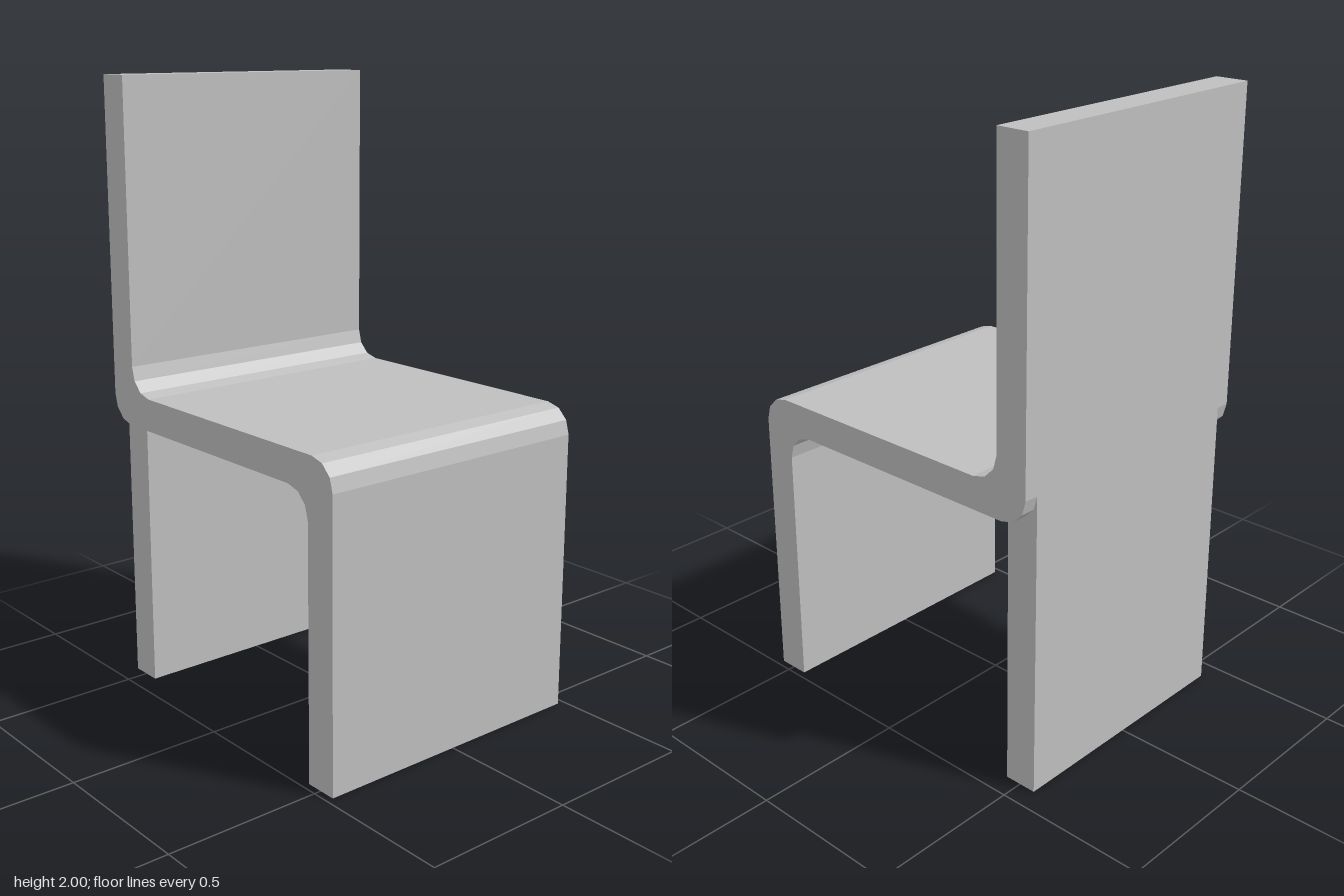
import * as THREE from 'three';

const WIDTH = 0.954, LEG_WIDTH = 0.857;
const FRONT = 0.555, INNER = 0.447; // outer and inner faces of the upright slabs
const TOP = 1.0, UNDER = 0.895;     // seat surfaces
const R = 0.09;                     // bend radius

// Points of a quarter bend in three facets, about (cz, cy), from angle a to b in degrees
function bend(cz, cy, a, b) {
  return [0, 1, 2, 3].map((i) => {
    const t = THREE.MathUtils.degToRad(a + ((b - a) * i) / 3);
    return new THREE.Vector2(cz + R * Math.cos(t), cy + R * Math.sin(t));
  });
}

export function createModel() {
  const group = new THREE.Group();
  group.name = 'chair';
  const grey = new THREE.MeshStandardMaterial({ color: 0xbfbfbf });
  grey.name = 'grey';

  // Side profile: front leg, seat and backrest as one bent sheet
  const profile = new THREE.Shape([
    new THREE.Vector2(INNER, 0),
    new THREE.Vector2(FRONT, 0),
    ...bend(FRONT - R, TOP - R, 0, 90),
    ...bend(-INNER + R, TOP + R, 270, 180),
    new THREE.Vector2(-INNER, 2),
    new THREE.Vector2(-FRONT, 2),
    ...bend(-FRONT + R, UNDER + R, 180, 270),
    ...bend(INNER - R, UNDER - R, 90, 0),
  ]);
  const sheet = new THREE.ExtrudeGeometry(profile, { depth: WIDTH, bevelEnabled: false });
  sheet.translate(0, 0, -WIDTH / 2).rotateY(-Math.PI / 2);
  const body = new THREE.Mesh(sheet, grey);
  body.name = 'seatAndBackrest';
  group.add(body);

  // Narrower rear leg slab, running up into the rear bend
  const height = UNDER + R;
  const leg = new THREE.Mesh(new THREE.BoxGeometry(LEG_WIDTH, height, FRONT - INNER), grey);
  leg.position.set(0, height / 2, -(FRONT + INNER) / 2);
  leg.name = 'rearLeg';
  group.add(leg);

  return group;
}
